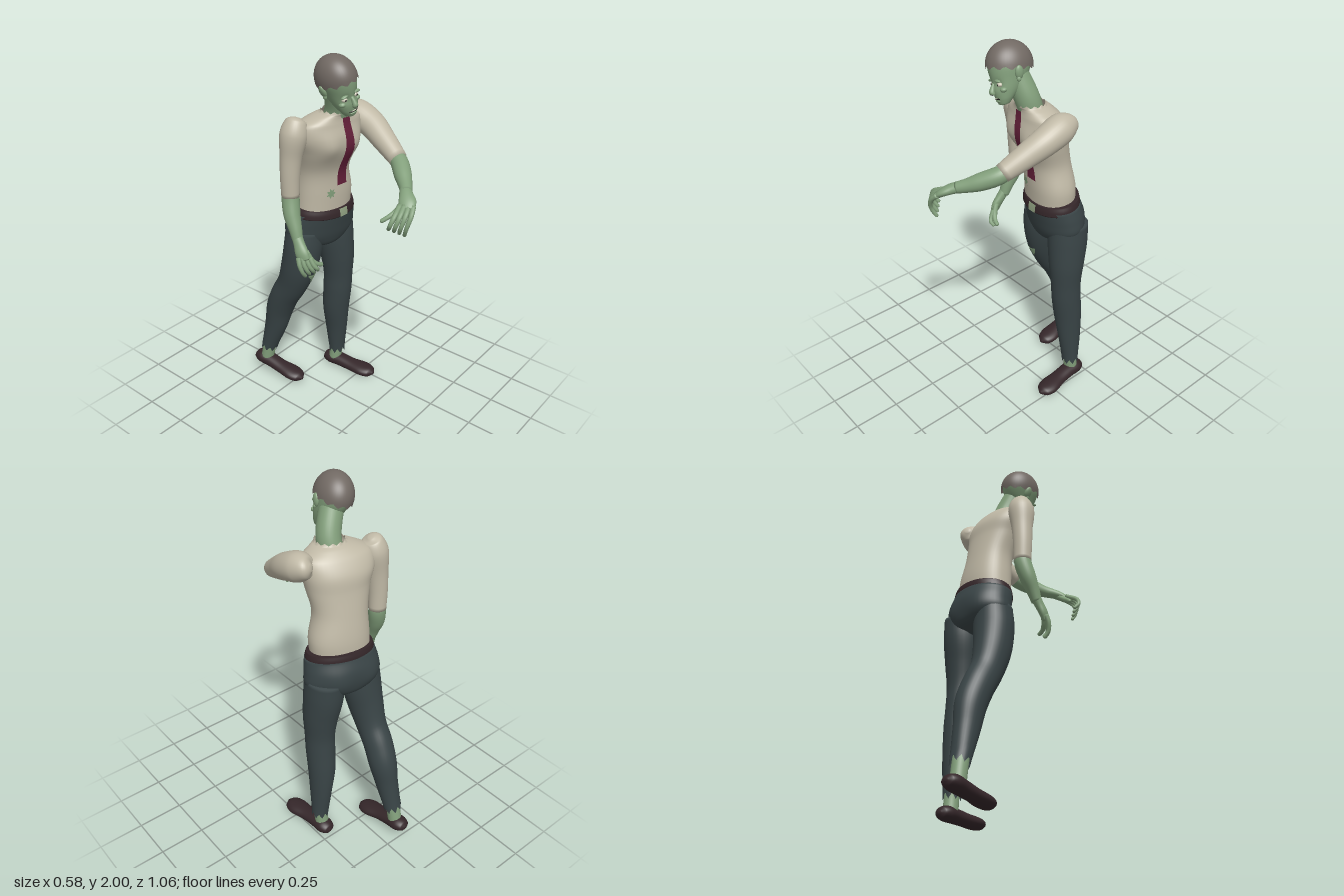
import * as THREE from 'three';

const mat = (name, color) => {
  const m = new THREE.MeshStandardMaterial({ color, side: THREE.DoubleSide });
  m.name = name;
  return m;
};

// Smooth skin over cross-sections [x, y, z, radiusX, radiusZ]; level rings when opt.level is set
function loft(sections, opt = {}) {
  const { seg = 32, steps = 6, yaw = 0, tilt = 0, level = false, ref = [1, 0, 0], jag = 0, power = 2, deform } = opt;
  const path = new THREE.CatmullRomCurve3(sections.map(s => new THREE.Vector3(s[0], s[1], s[2])));
  const size = new THREE.CatmullRomCurve3(
    sections.map(s => new THREE.Vector3(s[3], s[4] ?? s[3], 0)), false, 'catmullrom', 0.5);
  const rows = (sections.length - 1) * steps, pos = [], idx = [];
  const T = new THREE.Vector3(), N = new THREE.Vector3(), B = new THREE.Vector3(), v = new THREE.Vector3();
  for (let i = 0; i <= rows; i++) {
    const c = path.getPoint(i / rows), r = size.getPoint(i / rows);
    if (level) {
      T.set(0, 1, 0);
      N.set(Math.cos(yaw), 0, Math.sin(yaw));
      B.set(-Math.sin(yaw), tilt, Math.cos(yaw));
    } else {
      T.copy(path.getTangent(i / rows));
      N.set(...ref).addScaledVector(T, -T.dot(N.set(...ref))).normalize();
      B.crossVectors(N, T);
    }
    for (let j = 0; j < seg; j++) {
      const a = (j / seg) * Math.PI * 2, co = Math.cos(a), si = Math.sin(a);
      const k = (Math.abs(co) ** power + Math.abs(si) ** power) ** (-1 / power);
      v.copy(c).addScaledVector(N, co * k * r.x).addScaledVector(B, si * k * r.y);
      // torn edge on the last ring
      if (i === rows && jag) v.addScaledVector(T, jag * [0, 0.6, 1, 0.4][j % 4]);
      if (deform) deform(v);
      pos.push(v.x, v.y, v.z);
    }
  }
  for (let i = 0; i < rows; i++) for (let j = 0; j < seg; j++) {
    const a = i * seg + j, b = i * seg + (j + 1) % seg;
    idx.push(a, a + seg, b, b, a + seg, b + seg);
  }
  const cap = (row, point, flip) => {
    const n = pos.length / 3;
    pos.push(point.x, point.y, point.z);
    for (let j = 0; j < seg; j++) {
      const a = row * seg + j, b = row * seg + (j + 1) % seg;
      idx.push(n, flip ? b : a, flip ? a : b);
    }
  };
  cap(0, path.getPoint(0), false);
  if (!jag) cap(rows, path.getPoint(1), true);
  return surface(pos, idx);
}

function surface(pos, idx) {
  const g = new THREE.BufferGeometry();
  g.setAttribute('position', new THREE.Float32BufferAttribute(pos, 3));
  g.setIndex(idx);
  g.computeVertexNormals();
  return g;
}

// Thin patch laid on the front of a mesh: rows of [x, y] points dropped onto its surface
function patch(target, rows, lift = 0.006) {
  target.updateMatrixWorld(true);
  const ray = new THREE.Raycaster(), pos = [], idx = [], n = rows[0].length;
  rows.flat().forEach(([x, y]) => {
    ray.set(new THREE.Vector3(x, y, 2), new THREE.Vector3(0, 0, -1));
    const hit = ray.intersectObject(target)[0];
    pos.push(x, y, (hit ? hit.point.z : 0) + lift);
  });
  for (let i = 0; i < rows.length - 1; i++) for (let j = 0; j < n - 1; j++) {
    const a = i * n + j;
    idx.push(a, a + n, a + 1, a + 1, a + n, a + n + 1);
  }
  return surface(pos, idx);
}

// Concentric rows that fill an outline around a centre
const fill = (cx, cy, outline) => [0.02, 0.5, 1].map(s =>
  [...outline, outline[0]].map(([x, y]) => [cx + (x - cx) * s, cy + (y - cy) * s]));

// Soft swelling along z around given points
const swell = (spots, amount, radius) => v => {
  let d = 0;
  for (const [x, y, z] of spots)
    d += amount * Math.exp(-((v.x - x) ** 2 + (v.y - y) ** 2 + (v.z - z) ** 2) / radius ** 2);
  v.z += d;
};

export function createModel() {
  const root = new THREE.Group();
  const skin = mat('skin', 0x83a07c), shirt = mat('shirt', 0xc0b9a6), pants = mat('trousers', 0x394446);
  const leather = mat('leather', 0x35272a), hair = mat('hair', 0x716963), red = mat('tie', 0x65203a);
  const white = mat('eyeWhite', 0xcfcbb8), dark = mat('dark', 0x1d1a1a), metal = mat('buckle', 0x8f9f80);
  const add = (name, geometry, material, parent = root) => {
    const m = new THREE.Mesh(geometry, material);
    m.name = name;
    parent.add(m);
    return m;
  };
  const ball = (name, material, parent, p, s) => {
    const m = add(name, new THREE.SphereGeometry(1, 20, 14), material, parent);
    m.position.set(...p);
    m.scale.set(...s);
    return m;
  };

  // Torso and neck
  const torso = add('shirtBody', loft([
    [.045, 1.15, -.125, .158, .112], [.048, 1.25, -.12, .158, .115], [.033, 1.38, -.108, .142, .11],
    [.02, 1.5, -.075, .165, .125], [.01, 1.58, -.065, .185, .125], [.01, 1.65, -.05, .178, .1],
    [.015, 1.685, -.03, .115, .08], [.018, 1.7, -.012, .074, .07]],
  { seg: 48, level: true, yaw: .2, power: 2.2, jag: .012,
    deform: swell([[-.085, 1.53, .04], [.09, 1.53, .07]], .018, .06) }), shirt);
  add('neck', loft([[.018, 1.62, -.03, .06], [.014, 1.72, 0, .062], [-.035, 1.85, .035, .06]]), skin);

  // Tie and torn hole in the shirt
  add('tie', patch(torso, Array.from({ length: 19 }, (_, i) => {
    const t = i / 18, y = 1.68 - .375 * t, c = .012 + .036 * t, w = .022 + .01 * t;
    return [-1, -.5, 0, .5, 1].map(u => [c + u * w, y]);
  }), .008), red);
  add('shirtHole', patch(torso, fill(-.016, 1.265, Array.from({ length: 14 }, (_, i) => {
    const a = i / 14 * Math.PI * 2, r = i % 2 ? .016 : .03;
    return [-.016 + r * Math.cos(a) * .9, 1.265 + r * Math.sin(a)];
  })), .004), skin);

  // Hips, belt and buckle
  const waist = { seg: 48, level: true, yaw: .2, tilt: -.12 };
  add('hips', loft([
    [.055, .93, -.16, .03, .04], [.055, .955, -.16, .13, .1], [.055, 1.01, -.157, .203, .122],
    [.055, 1.08, -.15, .203, .132], [.053, 1.15, -.132, .188, .129]],
  { ...waist, deform: swell([[-.04, 1.03, -.28], [.15, 1.03, -.25]], -.012, .07) }), pants);
  const belt = add('belt', loft([[.052, 1.135, -.13, .186, .132], [.052, 1.16, -.13, .183, .131],
    [.052, 1.183, -.13, .176, .126]], waist), leather);
  add('buckle', patch(belt, [1.168, 1.147, 1.124].map(y => [.03, .057, .084].map(x => [x, y])), .009), metal);

  // Legs with torn cuffs
  const rightLeg = add('rightTrouserLeg', loft([
    [-.055, 1.04, -.17, .095, .1], [-.06, .93, -.175, .104, .105], [-.072, .8, -.2, .093, .1],
    [-.077, .68, -.245, .079, .087], [-.077, .58, -.305, .077, .083], [-.074, .48, -.35, .074, .08],
    [-.08, .36, -.38, .061, .068], [-.09, .2, -.428, .05, .046]], { jag: .03 }), pants);
  add('leftTrouserLeg', loft([
    [.165, 1.04, -.15, .095, .11], [.168, .93, -.145, .099, .11], [.178, .8, -.133, .09, .098],
    [.182, .68, -.13, .078, .085], [.183, .58, -.135, .077, .083], [.186, .45, -.148, .073, .078],
    [.198, .3, -.155, .058, .066], [.207, .14, -.158, .047, .046]], { jag: .03 }), pants);
  add('kneeTear', patch(rightLeg, fill(-.07, .765,
    [[-.106, .783], [-.07, .779], [-.037, .788], [-.048, .757], [-.069, .72], [-.078, .75]]), .004), skin);
  add('rightAnkle', loft([[-.085, .3, -.4, .038], [-.092, .2, -.428, .038], [-.098, .09, -.45, .038]]), skin);
  add('leftAnkle', loft([[.205, .24, -.156, .038], [.207, .14, -.16, .037], [.204, .05, -.17, .038]]), skin);

  // Shoes
  const shoe = (name, p, pitch, yaw) => {
    const m = add(name, loft([
      [0, 0, 0, .008, .006], [0, 0, .012, .034, .026], [0, .002, .05, .049, .038], [0, 0, .11, .045, .037],
      [0, -.005, .19, .046, .033], [.004, -.008, .27, .056, .031], [.004, -.01, .32, .042, .026],
      [.003, -.011, .345, .008, .007]]), leather);
    m.position.set(...p);
    m.rotation.set(pitch, yaw, 0, 'YXZ');
  };
  shoe('leftShoe', [.203, .04, -.245], 0, .09);
  shoe('rightShoe', [-.103, .092, -.53], .13, .07);

  // Arms
  add('leftSleeve', loft([
    [.2, 1.65, -.105, .015], [.21, 1.645, -.085, .052], [.213, 1.63, -.03, .074], [.212, 1.595, .06, .07],
    [.185, 1.54, .16, .06], [.15, 1.475, .275, .046]]), shirt);
  add('leftForearm', loft([
    [.165, 1.495, .23, .036], [.143, 1.467, .285, .044], [.085, 1.432, .35, .043], [.04, 1.41, .395, .034],
    [0, 1.395, .43, .028]]), skin);
  add('rightSleeve', loft([
    [-.165, 1.692, -.1, .015], [-.172, 1.677, -.1, .05], [-.187, 1.61, -.105, .07], [-.2, 1.5, -.115, .056],
    [-.206, 1.4, -.12, .05], [-.205, 1.29, -.122, .046]]), shirt);
  add('rightForearm', loft([
    [-.205, 1.34, -.122, .038], [-.207, 1.28, -.12, .045], [-.222, 1.2, -.1, .043], [-.232, 1.13, -.07, .034],
    [-.238, 1.075, -.05, .027]]), skin);

  // Hands: palm, four curled fingers and a thumb
  const finger = (name, parent, points, r = .0125) => add(name, loft(
    [...points.map((p, i) => [...p, r * (1.1 - .13 * i)]),
      [...points.at(-1).map((c, i) => c + (c - points.at(-2)[i]) * .12), r * .2]],
    { seg: 10, steps: 5, ref: [0, .3, 1] }), skin, parent);
  const hand = (name, palm, thumb, curl) => {
    const g = new THREE.Group();
    g.name = name;
    root.add(g);
    add('palm', loft(palm, { ref: [.3, 0, 1] }), skin, g);
    finger('thumb', g, thumb, .014);
    for (let k = 0; k < 4; k++) finger('finger', g, curl(k));
  };
  hand('leftHand',
    [[.02, 1.403, .41, .027], [-.015, 1.388, .44, .034, .026], [-.045, 1.37, .468, .042, .022], [-.075, 1.345, .485, .036, .016]],
    [[-.025, 1.375, .44], [-.08, 1.335, .438], [-.115, 1.31, .42], [-.143, 1.285, .392]],
    k => [[-.05 - .01 * k, 1.36, .505 - .018 * k], [-.085 - .02 * k, 1.325, .518 - .018 * k],
      [-.105 - .019 * k, 1.27 + .006 * k, .51 - .018 * k], [-.09 - .018 * k, 1.222 + .012 * k, .49 - .018 * k]]);
  hand('rightHand',
    [[-.236, 1.1, -.06, .027], [-.244, 1.06, -.035, .03, .024], [-.252, 1.02, -.012, .036, .022], [-.254, .985, .005, .032, .016]],
    [[-.24, 1.03, .005], [-.222, .98, .03], [-.2, .957, .045], [-.172, .945, .052]],
    k => [[-.272 + .012 * k, 1.0, -.018 + .015 * k], [-.278 + .016 * k, .96, -.005 + .018 * k],
      [-.268 + .016 * k, .92 + .008 * k, .005 + .018 * k], [-.245 + .014 * k, .89 + .012 * k, .003 + .016 * k]]);

  // Head, tilted to its right
  const head = new THREE.Group();
  head.name = 'head';
  head.position.set(-.053, 1.87, .05);
  head.rotation.set(.08, -.2, .26, 'YXZ');
  root.add(head);
  add('face', loft([
    [0, -.158, .07, .008, .008], [0, -.152, .066, .028, .026], [0, -.125, .055, .046, .046],
    [0, -.085, .032, .062, .074], [0, -.04, .012, .074, .094], [0, .02, 0, .086, .108],
    [0, .07, 0, .08, .1], [0, .11, 0, .05, .06], [0, .122, 0, .01, .01]],
  { seg: 40, level: true, deform: swell([[.034, -.055, .1], [-.034, -.055, .1]], -.012, .022) }), skin, head);
  const cap = new THREE.SphereGeometry(1, 48, 20, 0, Math.PI * 2, 0, 1.62);
  const cp = cap.attributes.position;
  for (let j = 0; j < 49; j++) cp.setY(20 * 49 + j, -.05 - .13 * [0, .6, 1, .3][j % 4]);
  const hairCap = add('hair', cap, hair, head);
  hairCap.position.set(0, .018, 0);
  hairCap.scale.set(.094, .113, .117);
  hairCap.rotation.x = -.2;
  for (const s of [-1, 1]) {
    ball('ear', skin, head, [s * .087, -.015, .0], [.013, .034, .021]).rotation.z = -s * .25;
    ball('earLobe', skin, head, [s * .084, -.043, .006], [.009, .014, .011]);
    ball('eye', white, head, [s * .033, -.055, .083], [.015, .011, .014]);
    ball('pupil', dark, head, [s * .034, -.055, .094], [.005, .005, .005]);
    ball('brow', skin, head, [s * .034, -.036, .092], [.022, .007, .011]).rotation.z = -s * .15;
    ball('cheekbone', skin, head, [s * .043, -.08, .074], [.018, .013, .018]);
    ball('nostril', dark, head, [s * .006, -.097, .12], [.004, .003, .004]);
  }
  add('nose', loft([[0, -.045, .097, .008], [0, -.065, .108, .01, .012], [0, -.085, .116, .014, .014],
    [0, -.097, .113, .013, .011], [0, -.102, .108, .004]], { level: true, seg: 16 }), skin, head);
  ball('mouth', dark, head, [0, -.122, .092], [.026, .007, .012]);
  ball('teeth', white, head, [0, -.12, .099], [.015, .003, .006]);
  ball('lowerLip', skin, head, [0, -.133, .092], [.022, .006, .011]);
  return root;
}
